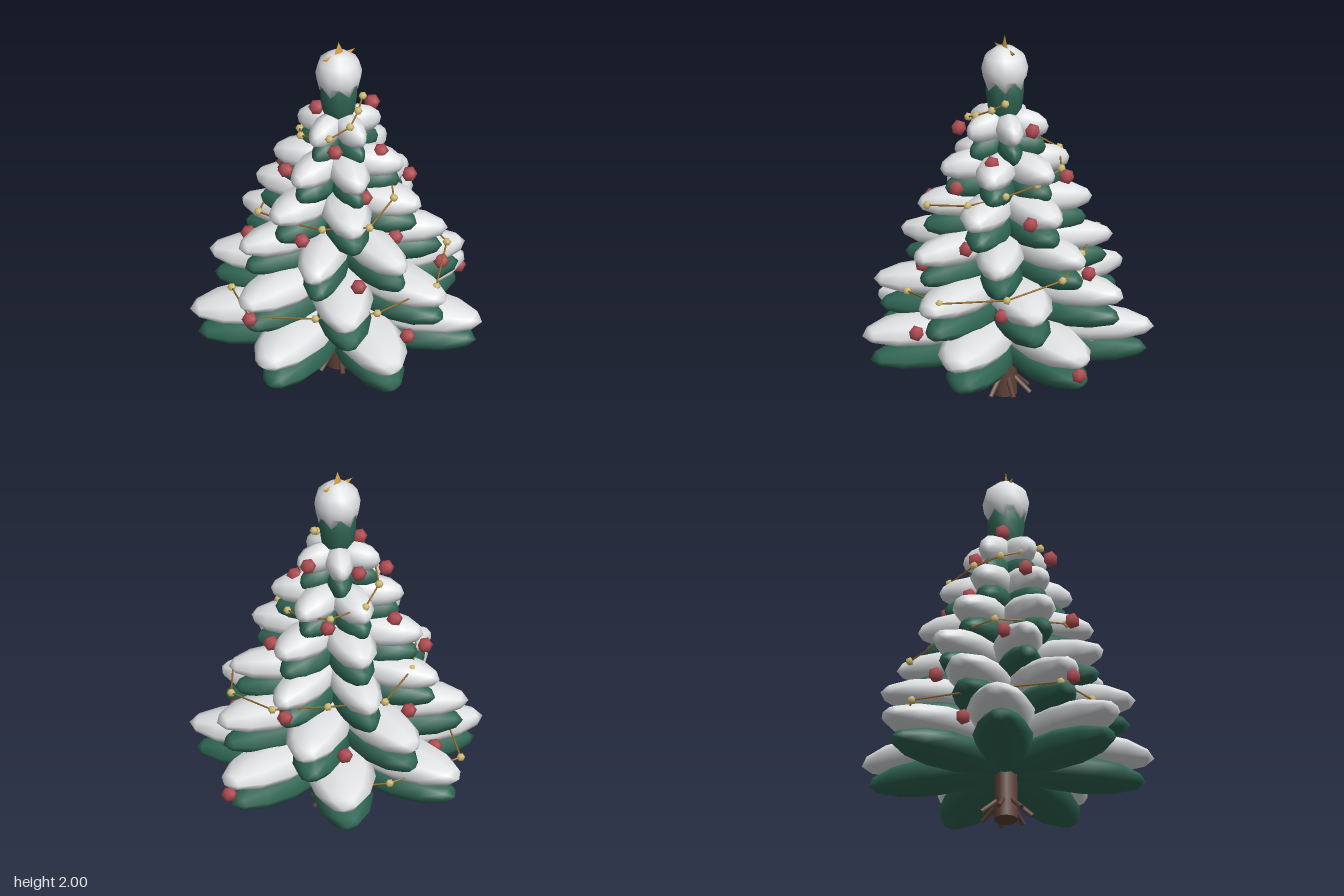
import * as THREE from 'three';
import { mergeVertices } from 'three/addons/utils/BufferGeometryUtils.js';

const paint = (name, color) => {
  const m = new THREE.MeshStandardMaterial({ color });
  m.name = name;
  return m;
};

export function createModel() {
  const root = new THREE.Group();
  root.name = 'snowyTree';
  const tree = new THREE.Group();
  tree.name = 'tree';
  tree.position.x = -0.04; // trunk axis
  root.add(tree);

  const green = paint('needleGreen', 0x2f6553);
  const white = paint('snowWhite', 0xe0e2e4);
  const brown = paint('barkBrown', 0x5f4237);
  const red = paint('baubleRed', 0xb24c52);
  const gold = paint('starGold', 0xd6a446);
  const pale = paint('beadGold', 0xd8c276);
  const wire = paint('wireGold', 0x9c6f2c);

  const add = (name, geo, mat, parent = tree) => {
    const m = new THREE.Mesh(geo, mat);
    m.name = name;
    parent.add(m);
    return m;
  };
  const smooth = (geo) => {
    geo.deleteAttribute('uv');
    geo.deleteAttribute('normal');
    const g = mergeVertices(geo, 1e-4);
    g.computeVertexNormals();
    return g;
  };
  // Thin tapered rod between two points
  const rod = (name, a, b, r0, r1, mat, sides) => {
    const d = b.clone().sub(a);
    const m = add(name, new THREE.CylinderGeometry(r1, r0, d.length(), sides), mat);
    m.position.copy(a).add(b).multiplyScalar(0.5);
    m.quaternion.setFromUnitVectors(new THREE.Vector3(0, 1, 0), d.normalize());
  };
  const polar = (deg, r, y) => {
    const a = THREE.MathUtils.degToRad(deg);
    return new THREE.Vector3(Math.cos(a) * r, y, Math.sin(a) * r);
  };

  // Bough pad along +x: flattened ball with shoulders and a tapering tip
  const padGeometry = (length, halfWidth, halfHeight) => {
    const inner = -0.06;
    const geo = new THREE.SphereGeometry(1, 8, 7);
    geo.rotateZ(-Math.PI / 2);
    const p = geo.attributes.position;
    for (let i = 0; i < p.count; i++) {
      const u = p.getX(i), t = (u + 1) / 2;
      p.setXYZ(i,
        inner + t * (length - inner),
        p.getY(i) * halfHeight * (1 + 0.06 * u) - 0.02 * t * t,
        p.getZ(i) * halfWidth * (1 + 0.35 * u) * (1 - 0.4 * t ** 4));
    }
    return smooth(geo);
  };

  // Trunk and roots
  const trunk = add('trunk', new THREE.CylinderGeometry(0.035, 0.065, 1.6, 10), brown);
  trunk.position.y = 0.8;
  for (let i = 0; i < 7; i++) {
    const a = i * 360 / 7 + 12;
    rod('root', polar(a, 0.045, 0.105), polar(a, 0.14, 0.02), 0.013, 0.013, brown, 6);
  }

  // Tiers: boughs, first angle, green reach, snow reach, half width, green y, snow y
  const tiers = [
    [7, 0, 0.745, 0.785, 0.182, 0.30, 0.43],
    [7, 18, 0.655, 0.685, 0.162, 0.53, 0.66],
    [7, 36, 0.54, 0.57, 0.128, 0.76, 0.88],
    [6, 54, 0.43, 0.46, 0.132, 0.98, 1.10],
    [6, 46, 0.325, 0.35, 0.107, 1.20, 1.305],
    [5, 90, 0.215, 0.23, 0.075, 1.40, 1.515],
  ];
  tiers.forEach(([n, start, greenR, snowR, w, greenY, snowY]) => {
    const bough = padGeometry(greenR, w * 0.88, 0.08);
    const snow = padGeometry(snowR, w, 0.083);
    for (let i = 0; i < n; i++) {
      const a = i * 360 / n + start;
      const b = add('bough', bough, green);
      b.position.y = greenY;
      b.rotation.y = -THREE.MathUtils.degToRad(a - 1.5);
      const s = add('boughSnow', snow, white);
      s.position.y = snowY;
      s.rotation.y = -THREE.MathUtils.degToRad(a);
    }
  });

  // Crown with a ragged snow cap
  const lathe = (pts, sides) => new THREE.LatheGeometry(pts.map(([r, y]) => new THREE.Vector2(r, y)), sides);
  add('crown', smooth(lathe([[0, 1.5], [0.06, 1.52], [0.09, 1.6], [0.1, 1.68], [0.1, 1.76], [0.06, 1.82], [0, 1.84]], 10)), green);
  const cap = lathe([[0, 1.74], [0.1, 1.72], [0.115, 1.77], [0.123, 1.82], [0.105, 1.885], [0.05, 1.928], [0, 1.935]], 12);
  const cp = cap.attributes.position;
  for (let i = 0; i < cp.count; i++) {
    if (Math.abs(cp.getY(i) - 1.72) > 0.001) continue;
    const k = Math.round(Math.atan2(cp.getX(i), cp.getZ(i)) / (Math.PI / 6)) + 12;
    cp.setY(i, k % 2 ? 1.755 : 1.705);
  }
  add('crownSnow', smooth(cap), white);

  // Five-pointed star, ridged on both sides
  const star = [];
  for (let i = 0; i < 10; i++) {
    const point = (k) => {
      const a = Math.PI / 2 + k * Math.PI / 5, r = k % 2 ? 0.048 : 0.108;
      return [Math.cos(a) * r, Math.sin(a) * r, 0];
    };
    star.push(...point(i), ...point(i + 1), 0, 0, 0.016);
    star.push(...point(i + 1), ...point(i), 0, 0, -0.016);
  }
  const starGeo = new THREE.BufferGeometry();
  starGeo.setAttribute('position', new THREE.Float32BufferAttribute(star, 3));
  starGeo.computeVertexNormals();
  add('star', starGeo, gold).position.y = 1.892;

  // Baubles
  const bauble = smooth(new THREE.IcosahedronGeometry(0.043, 0));
  [
    [0.71, 0.34, 0], [0.01, 0.46, 0.57], [0.41, 0.63, 0.29], [-0.68, 0.57, 0.12],
    [0.49, 0.80, -0.19], [0.10, 0.91, 0.32], [-0.42, 1.02, 0.22], [0.35, 1.08, 0.08],
    [-0.19, 0.75, 0.41], [-0.065, 1.19, 0.28], [0.22, 1.25, -0.22], [0.11, 1.36, 0.17],
    [-0.36, 1.31, -0.02], [0.19, 1.53, -0.03], [-0.19, 1.47, 0.19], [-0.14, 1.60, -0.06],
    [-0.48, 0.87, -0.19], [-0.15, 0.71, -0.44], [0.24, 0.56, -0.38], [-0.04, 1.46, -0.17],
    [-0.38, 0.38, -0.38], [-0.20, 1.17, -0.27],
  ].forEach(([x, y, z]) => add('bauble', bauble, red, root).position.set(x, y, z));

  // Garland: beads on a wire winding down the tree, in and out of the boughs
  const bead = smooth(new THREE.IcosahedronGeometry(0.023, 0));
  const reach = [
    0.126, 0.12, 0.16, 0.2, 0.17, 0.2, 0.24, 0.3, 0.31, 0.28,
    0.265, 0.34, 0.43, 0.355, 0.33, 0.42, 0.43, 0.51, 0.42, 0.5,
    0.566, 0.6, 0.54, 0.5, 0.61, 0.56, 0.71, 0.56, 0.47,
  ];
  let last = null;
  reach.forEach((r, i) => {
    const p = polar(30 + i * 36, r, 1.66 - i * 0.0465);
    add('bead', bead, pale).position.copy(p);
    if (last) rod('garlandWire', last, p, 0.005, 0.005, wire, 5);
    last = p;
  });
  return root;
}
